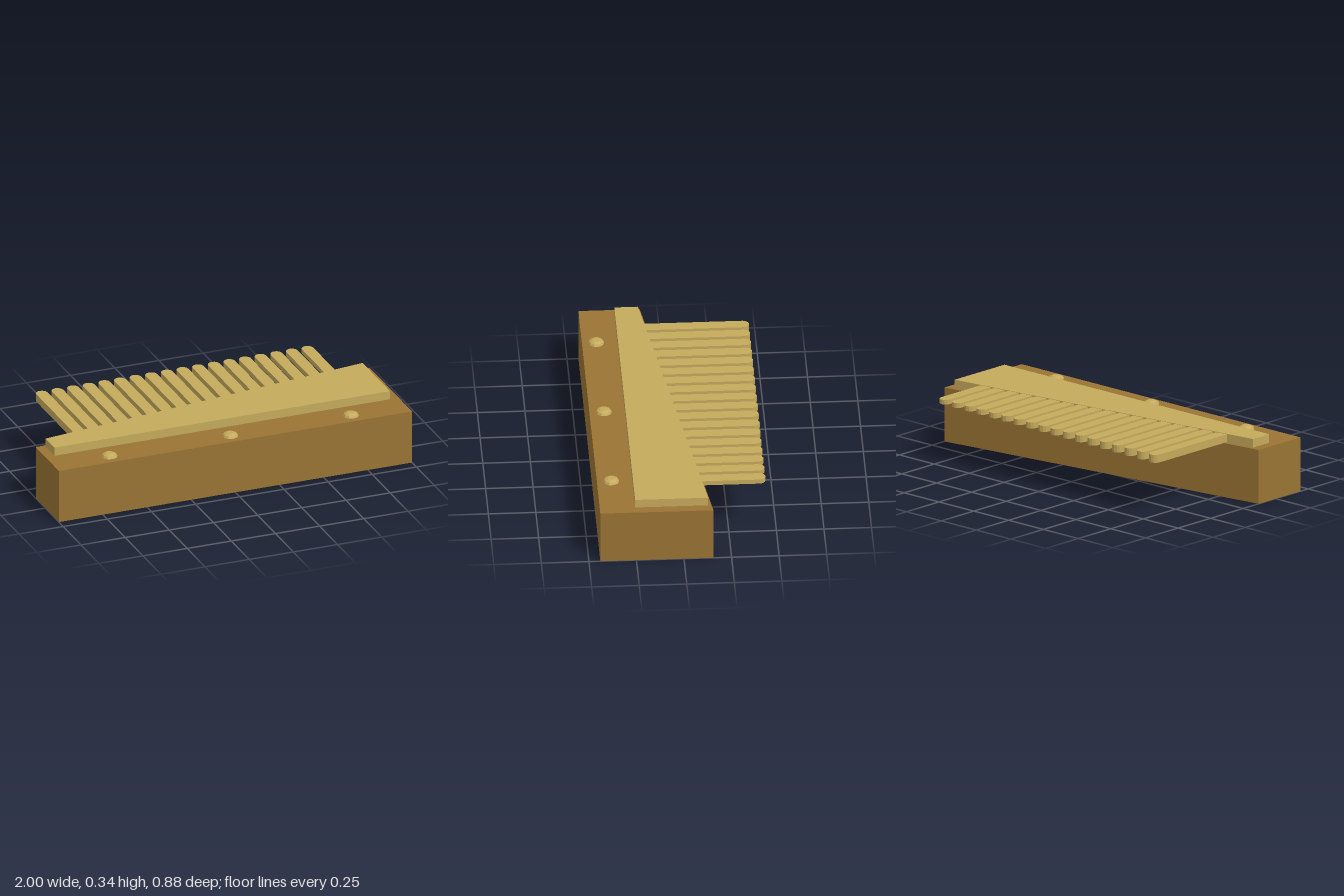
import * as THREE from 'three';

const block = new THREE.MeshStandardMaterial({ color: 0x9a7434 });
block.name = 'bronze';
const brass = new THREE.MeshStandardMaterial({ color: 0xc5aa5c, flatShading: true });
brass.name = 'brass';

// Raise a plan outline (x, z) from y0 to y1
function slab(name, points, y0, y1, material) {
  const shape = new THREE.Shape(points.map(([x, z]) => new THREE.Vector2(x, -z)));
  const geometry = new THREE.ExtrudeGeometry(shape, { depth: y1 - y0, bevelEnabled: false });
  geometry.rotateX(-Math.PI / 2).translate(0, y0, 0);
  const mesh = new THREE.Mesh(geometry, material);
  mesh.name = name;
  return mesh;
}

export function createModel() {
  const model = new THREE.Group();
  model.name = 'musicBoxComb';

  // Heavy base block with a slanted back
  model.add(slab('baseBlock', [[-1, 0.44], [1, 0.44], [1, -0.155], [-1, 0.118]], 0, 0.295, block));

  // Comb plate, its back edge parallel to the block's
  const plateBack = (x) => -0.137 * x;
  model.add(slab('combPlate',
    [[-0.95, 0.254], [0.95, 0.254], [0.95, plateBack(0.95)], [-0.95, plateBack(-0.95)]],
    0.295, 0.342, brass));

  // Round-ended teeth, longer and thicker towards the right
  const teeth = new THREE.Group();
  teeth.name = 'teeth';
  const count = 18, radius = 0.032, tip = -0.443;
  for (let i = 0; i < count; i++) {
    const t = i / (count - 1);
    const x = THREE.MathUtils.lerp(-0.752, 0.752, t);
    const root = plateBack(x) + 0.025;
    const points = [[x - radius, root], [x + radius, root]];
    for (let k = 0; k <= 6; k++) {
      const a = (k / 6) * Math.PI;
      points.push([x + radius * Math.cos(a), tip + radius - radius * Math.sin(a)]);
    }
    const thickness = THREE.MathUtils.lerp(0.043, 0.025, t);
    teeth.add(slab('tooth', points, 0.34 - thickness, 0.34, brass));
  }
  model.add(teeth);

  // Domed screw heads along the front
  const profile = [[0.043, 0], [0.037, 0.012], [0.021, 0.02], [0, 0.0205]]
    .map(([r, y]) => new THREE.Vector2(r, y));
  const headGeometry = new THREE.LatheGeometry(profile, 10);
  for (const x of [-0.683, 0, 0.683]) {
    const head = new THREE.Mesh(headGeometry, brass);
    head.name = 'screwHead';
    head.position.set(x, 0.295, 0.365);
    model.add(head);
  }
  return model;
}
